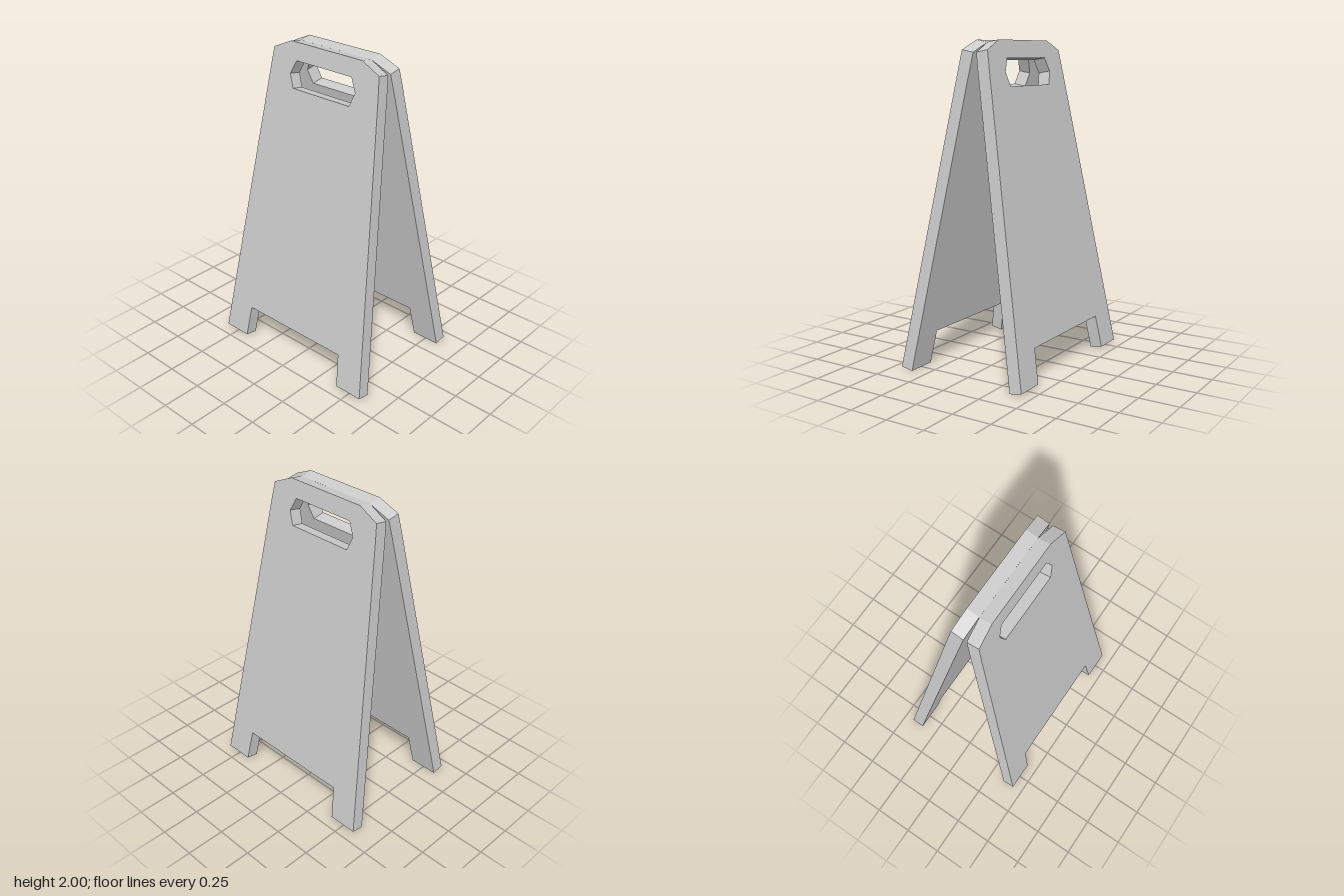
import * as THREE from 'three';

const SPREAD = 0.355;   // z of each panel's inner foot edge
const RISE = 1.986;     // height of the inner top edge
const THICKNESS = 0.08;

// Full outline from its right half, mirrored across x = 0
const mirrored = (half) =>
  [...half, ...half.map(([x, y]) => [-x, y]).reverse()].map(([x, y]) => new THREE.Vector2(x, y));

function panelGeometry() {
  // Tapered board with two feet and clipped top corners
  const shape = new THREE.Shape(mirrored([
    [0.385, 0.211], [0.405, 0], [0.592, 0], [0.42, 1.85], [0.408, 1.957], [0.275, 2.017],
  ]));
  // Six-sided hand grip
  shape.holes.push(new THREE.Path(mirrored([
    [0.222, 1.741], [0.255, 1.825], [0.215, 1.909],
  ])));
  return new THREE.ExtrudeGeometry(shape, { depth: THICKNESS, bevelEnabled: false });
}

export function createModel() {
  const model = new THREE.Group();
  model.name = 'foldingFloorSign';
  const material = new THREE.MeshStandardMaterial({ color: 0xcccccc, flatShading: true });
  const geometry = panelGeometry();

  // Two identical panels leaning together at the top
  ['frontPanel', 'backPanel'].forEach((name, i) => {
    const side = new THREE.Group();
    side.name = name;
    side.rotation.y = i * Math.PI;
    const board = new THREE.Mesh(geometry, material);
    board.name = name + 'Board';
    board.rotation.x = -Math.atan2(SPREAD, RISE);
    board.position.z = SPREAD;
    side.add(board);
    model.add(side);
  });
  return model;
}
